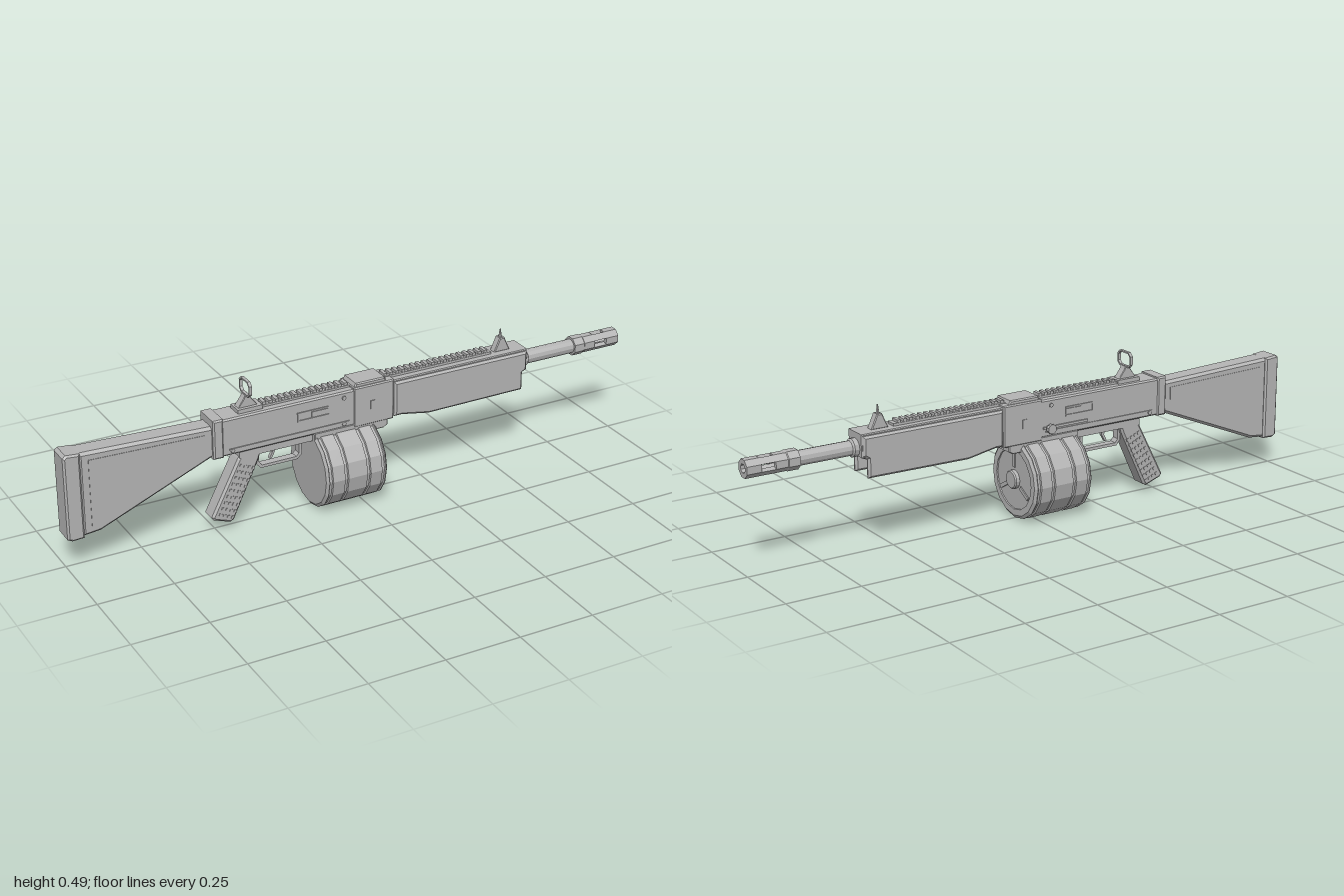
import * as THREE from 'three';

export function createModel() {
  const root = new THREE.Group();
  root.name = 'drumShotgun';
  const metal = new THREE.MeshStandardMaterial({ color: 0xb4b4b4, flatShading: true });
  metal.name = 'plainGrey';

  const add = (name, geo, x = 0, y = 0, z = 0, parent = root) => {
    const m = new THREE.Mesh(geo, metal);
    m.name = name;
    m.position.set(x, y, z);
    parent.add(m);
    return m;
  };
  // box given by its limits on each axis
  const box = (name, x0, x1, y0, y1, z0, z1) =>
    add(name, new THREE.BoxGeometry(x1 - x0, y1 - y0, z1 - z0), (x0 + x1) / 2, (y0 + y1) / 2, (z0 + z1) / 2);
  const shapeOf = (pts) => new THREE.Shape(pts.map(([x, y]) => new THREE.Vector2(x, y)));
  // side profile extruded from z0 to z1, edges chamfered by b
  const slab = (name, pts, z0, z1, b = 0, hole) => {
    const s = shapeOf(pts);
    if (hole) s.holes.push(shapeOf(hole));
    const g = new THREE.ExtrudeGeometry(s, {
      depth: z1 - z0 - 2 * b, bevelEnabled: b > 0, bevelThickness: b, bevelSize: b, bevelOffset: -b, bevelSegments: 1,
    });
    g.translate(0, 0, z0 + b);
    return add(name, g);
  };
  // turned part along x; points are [radius, x]
  const turned = (name, pts, sides, y, turn = 0) => {
    const g = new THREE.LatheGeometry(pts.map(([r, x]) => new THREE.Vector2(r, x)), sides);
    g.rotateY(turn).rotateZ(-Math.PI / 2);
    return add(name, g, 0, y, 0);
  };

  // stock and butt pad
  slab('stock', [[-0.95, 0.392], [-0.95, 0.11], [-0.89, 0.116], [-0.5, 0.277], [-0.5, 0.376]], -0.036, 0.036, 0.009);
  slab('stockCheekPanel', [[-0.92, 0.365], [-0.92, 0.14], [-0.88, 0.145], [-0.54, 0.288], [-0.54, 0.355]], -0.0375, 0.0375);
  slab('buttPad', [[-1, 0.387], [-1, 0.112], [-0.985, 0.104], [-0.945, 0.106], [-0.945, 0.392], [-0.99, 0.396]],
    -0.039, 0.039, 0.006);

  // receiver
  slab('receiver', [[-0.5, 0.27], [0.1, 0.27], [0.1, 0.395], [-0.5, 0.395]], -0.044, 0.044, 0.005);
  slab('receiverEndCap', [[-0.515, 0.268], [-0.48, 0.268], [-0.48, 0.4], [-0.515, 0.4]], -0.048, 0.048, 0.005);
  slab('receiverFront', [[-0.025, 0.262], [0.12, 0.262], [0.12, 0.4], [-0.025, 0.4]], -0.047, 0.047, 0.004);
  slab('topCover', [[-0.022, 0.395], [0.098, 0.395], [0.09, 0.412], [-0.014, 0.412]], -0.04, 0.04, 0.004);
  slab('magazineWell', [[-0.165, 0.262], [-0.165, 0.238], [0.085, 0.236], [0.1, 0.245], [0.1, 0.275], [-0.165, 0.275]],
    -0.045, 0.045, 0.003);
  box('triggerHousing', -0.42, -0.16, 0.243, 0.272, -0.03, 0.03);

  // receiver details on both sides
  for (const s of [1, -1]) {
    const plate = (name, x, y, w, h) =>
      add(name, new THREE.BoxGeometry(w, h, 0.006), x, y, s * 0.0445);
    plate('sideRib', -0.25, 0.29, 0.42, 0.005);
    plate('portTop', -0.17, 0.358, 0.11, 0.005);
    plate('portBottom', -0.17, 0.331, 0.11, 0.005);
    plate('portEnd', -0.222, 0.345, 0.006, 0.03);
    plate('portCover', -0.145, 0.345, 0.06, 0.018);
    for (const [x, y] of [[-0.45, 0.285], [-0.06, 0.285], [-0.06, 0.375]]) {
      const pin = add('pin', new THREE.CylinderGeometry(0.007, 0.007, 0.008, 8), x, y, s * 0.0445);
      pin.rotation.x = Math.PI / 2;
    }
    box('frontLug', 0.035, 0.05, 0.315, 0.345, s * 0.047 - 0.003, s * 0.047 + 0.003);
  }

  // charging handle on the right side
  for (const [r, z, d] of [[0.008, -0.052, 0.025], [0.016, -0.063, 0.012]]) {
    const k = add('chargingHandle', new THREE.CylinderGeometry(r, r, d, 10), -0.05, 0.302, z);
    k.rotation.x = Math.PI / 2;
  }
  box('chargingSlot', -0.2, -0.03, 0.298, 0.306, -0.049, -0.043);

  // handguard: undercut core and two facetted side panels
  slab('handguardCore', [[0.11, 0.27], [0.48, 0.258], [0.625, 0.32], [0.625, 0.394], [0.11, 0.394]], -0.042, 0.042, 0.003);
  for (const s of [1, -1]) {
    slab('handguardPanel',
      [[0.122, 0.268], [0.15, 0.268], [0.25, 0.25], [0.607, 0.253], [0.607, 0.315], [0.622, 0.325], [0.622, 0.388], [0.122, 0.388]],
      s > 0 ? 0.032 : -0.05, s > 0 ? 0.05 : -0.032, 0.007);
  }

  // barrel
  turned('barrel', [[0, 0.6], [0.03, 0.6], [0.03, 0.64], [0.024, 0.645], [0.024, 0.84], [0, 0.84]], 12, 0.345);

  // slotted muzzle: hollow rings joined by four bars
  const sector = (name, r0, r1, a0, a1, n, x0, x1) => {
    const arc = (r, i) => {
      const a = a0 + ((a1 - a0) * i) / n;
      return [r * Math.cos(a), r * Math.sin(a)];
    };
    const pts = [];
    for (let i = 0; i <= n; i++) pts.push(arc(r1, i));
    for (let i = n; i >= 0; i--) pts.push(arc(r0, i));
    const g = new THREE.ExtrudeGeometry(shapeOf(pts), { depth: x1 - x0, bevelEnabled: false });
    g.rotateY(Math.PI / 2);
    add(name, g, x0, 0.345, 0);
  };
  const E = Math.PI / 8;
  turned('muzzleCollar', [[0, 0.825], [0.033, 0.825], [0.033, 0.862], [0.03, 0.866], [0, 0.866]], 8, 0.345, E);
  for (const [x0, x1] of [[0.864, 0.905], [0.952, 1]]) {
    for (const k of [0, 1]) sector('muzzleRing', 0.015, 0.031, E + k * Math.PI, E + (k + 1) * Math.PI, 4, x0, x1);
  }
  for (let i = 0; i < 4; i++) {
    const a = Math.PI / 4 + (i * Math.PI) / 2;
    sector('muzzleBar', 0.015, 0.031, a - E, a + E, 1, 0.905, 0.952);
  }

  // drum magazine: ridged sixteen-sided body, hub and spokes
  const D = 0.135;
  const body = [[0, -0.165], [0.122, -0.165], [0.132, -0.158]];
  for (const x of [-0.15, -0.095, -0.015, 0.038]) {
    body.push([0.132, x - 0.006], [0.127, x - 0.004], [0.127, x + 0.004], [0.132, x + 0.006]);
  }
  body.push([0.132, 0.047], [0.122, 0.054], [0.101, 0.054], [0.1, 0.05], [0, 0.05]);
  turned('drum', body, 16, D);
  turned('drumHub', [[0, 0.045], [0.031, 0.045], [0.031, 0.062], [0.027, 0.066], [0, 0.066]], 16, D);
  for (let i = 0; i < 3; i++) {
    const spoke = new THREE.BoxGeometry(0.008, 0.052, 0.013);
    spoke.translate(0.05, 0.067, 0).rotateX((i * Math.PI * 2) / 3);
    add('drumSpoke', spoke, 0, D, 0);
  }

  // pistol grip with studded sides
  slab('grip', [[-0.52, 0.055], [-0.512, 0.045], [-0.455, 0.025], [-0.443, 0.032], [-0.352, 0.225], [-0.34, 0.262], [-0.41, 0.262],
    [-0.425, 0.24]], -0.03, 0.03, 0.007);
  const stud = new THREE.BoxGeometry(0.009, 0.009, 0.064);
  stud.rotateZ(-0.42);
  for (let r = 0; r < 9; r++) {
    for (let c = 0; c < 4; c++) add('gripStud', stud, -0.492 + r * 0.0095 + c * 0.014, 0.062 + r * 0.0195 - c * 0.006, 0);
  }

  // trigger and guard
  slab('triggerGuard', [[-0.355, 0.2], [-0.34, 0.182], [-0.21, 0.182], [-0.195, 0.197], [-0.195, 0.25], [-0.355, 0.25]],
    -0.013, 0.013, 0, [[-0.345, 0.204], [-0.335, 0.192], [-0.215, 0.192], [-0.205, 0.202], [-0.205, 0.246], [-0.345, 0.246]]);
  slab('trigger', [[-0.3, 0.25], [-0.295, 0.225], [-0.306, 0.204], [-0.299, 0.202], [-0.286, 0.225], [-0.28, 0.25]], -0.006, 0.006);

  // toothed top rails
  for (const [x0, x1] of [[-0.33, -0.025], [0.1, 0.5]]) {
    box('railBase', x0 - 0.02, x1, 0.39, 0.402, -0.018, 0.018);
    for (let x = x0; x < x1 - 0.01; x += 0.022) box('railTooth', x, x + 0.012, 0.4, 0.411, -0.016, 0.016);
  }

  // rear sight: flared base and eight-sided loop
  box('rearSightFoot', -0.42, -0.335, 0.393, 0.408, -0.026, 0.026);
  slab('rearSightBase', [[-0.415, 0.405], [-0.345, 0.405], [-0.368, 0.436], [-0.373, 0.446], [-0.388, 0.446], [-0.393, 0.436]],
    -0.014, 0.014, 0.002);
  const loop = (w, h, c) => [[-w + c, -h], [w - c, -h], [w, -h + c], [w, h - c], [w - c, h], [-w + c, h], [-w, h - c], [-w, -h + c]];
  const ring = shapeOf(loop(0.036, 0.026, 0.012));
  ring.holes.push(shapeOf(loop(0.031, 0.021, 0.01)));
  const ringGeo = new THREE.ExtrudeGeometry(ring, { depth: 0.01, bevelEnabled: false });
  ringGeo.rotateY(Math.PI / 2);
  add('rearSightLoop', ringGeo, -0.385, 0.469, 0);

  // front sight: tapered block with pointed post
  slab('frontSightBase', [[0.515, 0.393], [0.575, 0.393], [0.565, 0.415], [0.554, 0.44], [0.536, 0.44], [0.525, 0.415]],
    -0.014, 0.014, 0.003);
  const post = add('frontSightPost', new THREE.CylinderGeometry(0.002, 0.007, 0.032, 6), 0.545, 0.451, 0);
  post.rotation.y = Math.PI / 6;

  return root;
}
